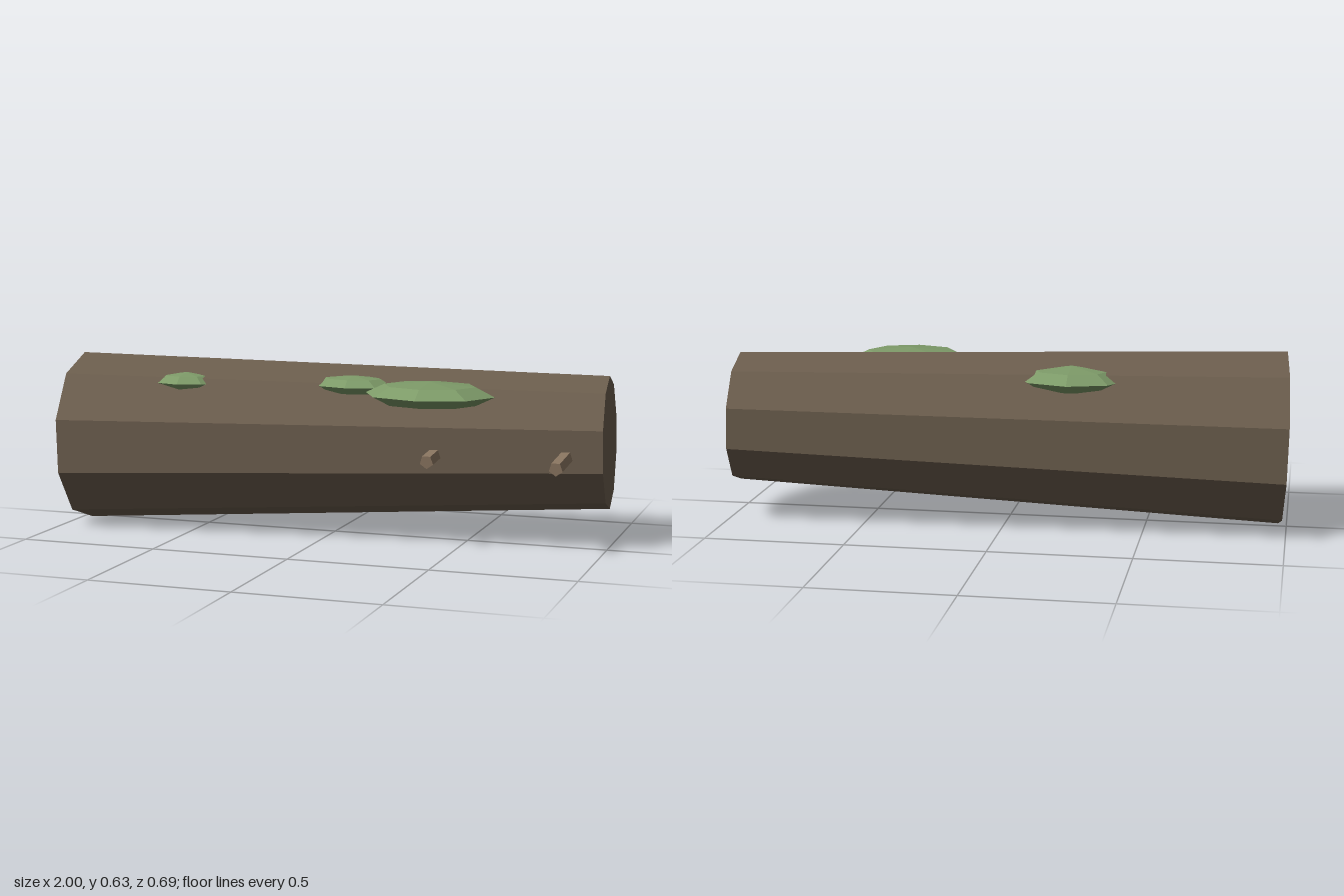
import * as THREE from 'three';

const flat = (name, color) => {
  const m = new THREE.MeshStandardMaterial({ color, flatShading: true });
  m.name = name;
  return m;
};

export function createModel() {
  const model = new THREE.Group();
  model.name = 'fallenLog';
  const bark = flat('bark', 0x6b5d4d);
  const moss = flat('moss', 0x7d9a68);
  const twigWood = flat('twigWood', 0x8a7560);

  const add = (name, geometry, material) => {
    const mesh = new THREE.Mesh(geometry, material);
    mesh.name = name;
    model.add(mesh);
    return mesh;
  };

  // Tapered ten-sided trunk lying along x, with an edge on top
  const trunkGeo = new THREE.CylinderGeometry(0.236, 0.314, 1.964, 10);
  trunkGeo.rotateY(Math.PI / 2).rotateZ(-Math.PI / 2);
  const trunk = add('trunk', trunkGeo, bark);
  trunk.position.set(0.001, 0.339, -0.042);
  trunk.rotation.set(0, 0.08, 0.023);

  // Flattened moss cushions: centre, then radii
  const mossGeo = new THREE.SphereGeometry(1, 8, 4);
  [
    [[0.4, 0.541, 0.157], [0.232, 0.046, 0.185]],
    [[0.095, 0.553, 0.075], [0.145, 0.035, 0.1]],
    [[-0.24, 0.54, -0.13], [0.198, 0.046, 0.155]],
    [[-0.525, 0.547, 0.135], [0.12, 0.036, 0.09]],
  ].forEach(([p, r], i) => {
    const patch = add(`mossPatch${i + 1}`, mossGeo, moss);
    patch.position.set(...p);
    patch.scale.set(...r);
  });

  // Broken twigs on the front side, drooping slightly
  const twigGeo = new THREE.CylinderGeometry(0.025, 0.025, 0.2, 5);
  twigGeo.rotateX(Math.PI / 2).translate(0, 0, -0.1);
  [0.867, 0.417].forEach((x, i) => {
    const twig = add(`twig${i + 1}`, twigGeo, twigWood);
    twig.position.set(x, 0.32, 0.25);
    twig.rotation.set(0.13, -0.04, 0);
  });

  return model;
}
